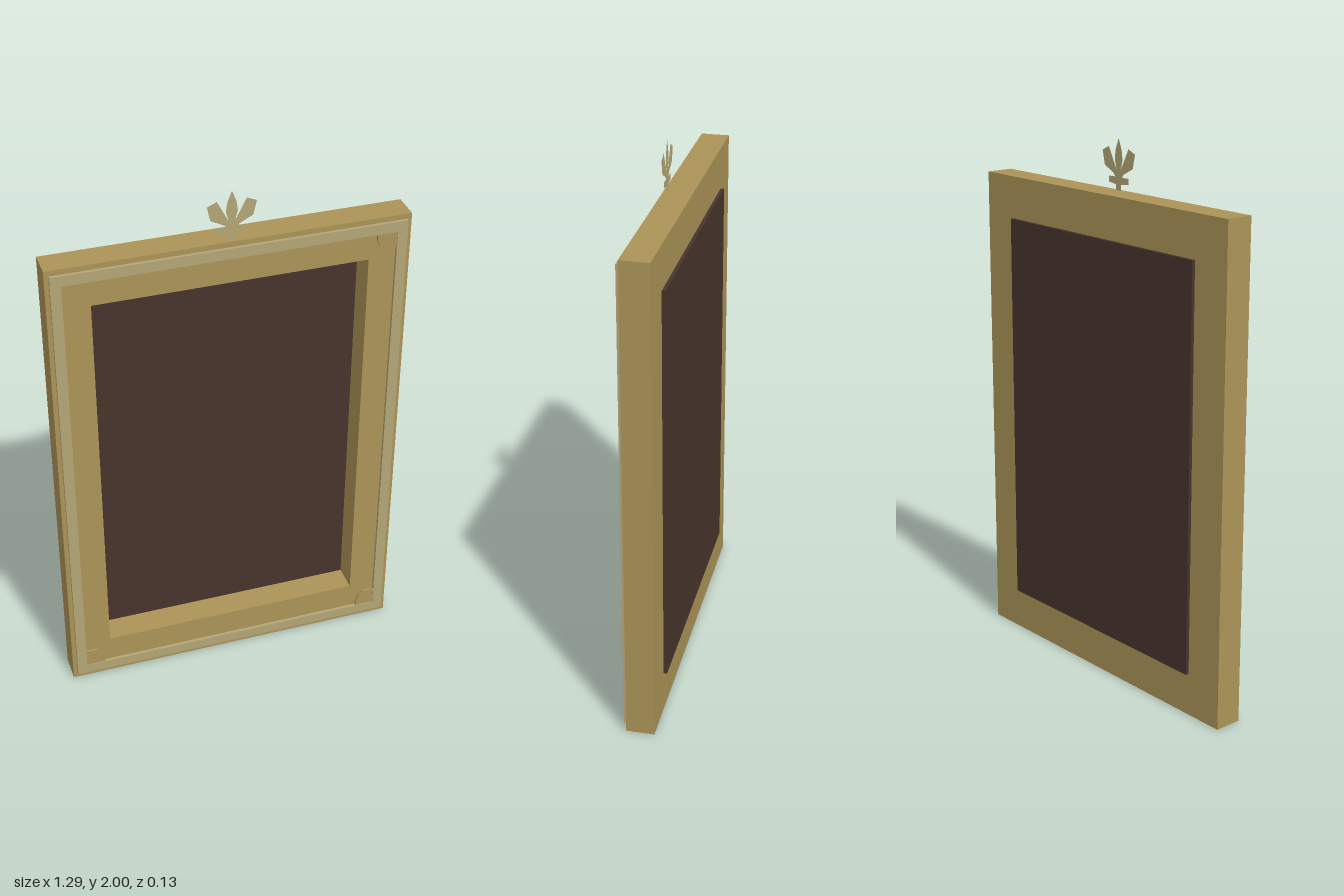
import * as THREE from 'three';

const gold = new THREE.MeshStandardMaterial({ color: 0xac9458 });
gold.name = 'gold';
const paleGold = new THREE.MeshStandardMaterial({ color: 0xb3a677, side: THREE.DoubleSide });
paleGold.name = 'paleGold';
const darkBrown = new THREE.MeshStandardMaterial({ color: 0x48342d });
darkBrown.name = 'darkBrown';

const polygon = (points) => new THREE.Shape(points.map(([x, y]) => new THREE.Vector2(x, y)));
const rectangle = (w, y0, y1) => [[-w, y0], [w, y0], [w, y1], [-w, y1]];

function addMesh(group, name, geometry, material, z) {
  const mesh = new THREE.Mesh(geometry, material);
  mesh.name = name;
  mesh.position.z = z;
  group.add(mesh);
  return mesh;
}

// Rectangular ring with a rectangular opening
function ring(outer, inner, depth) {
  const shape = polygon(rectangle(...outer));
  shape.holes.push(polygon(rectangle(...inner)));
  return new THREE.ExtrudeGeometry(shape, { depth, bevelEnabled: false });
}

export function createModel() {
  const model = new THREE.Group();
  model.name = 'pictureFrame';

  // Main frame and the raised moulding on its face
  addMesh(model, 'frame', ring([0.647, 0, 1.817], [0.495, 0.16, 1.66], 0.104), gold, -0.052);
  addMesh(model, 'trim', ring([0.631, 0.022, 1.797], [0.593, 0.059, 1.758], 0.013), paleGold, 0.051);

  // Backing panel behind the opening
  const panel = addMesh(model, 'backPanel', new THREE.BoxGeometry(0.99, 1.5, 0.014), darkBrown, -0.058);
  panel.position.y = 0.91;

  // Rounded ornament inside each corner of the moulding
  for (const sx of [-1, 1]) {
    for (const sy of [-1, 1]) {
      const pts = [[0, 0], [0.073, 0], [0.072, 0.022], [0.062, 0.046], [0.045, 0.066], [0, 0.066]]
        .map(([u, v]) => [sx * (0.593 - u), 0.9085 + sy * (0.8495 - v)]);
      const geometry = new THREE.ExtrudeGeometry(polygon(pts), { depth: 0.01, bevelEnabled: false });
      addMesh(model, 'cornerOrnament', geometry, gold, 0.051);
    }
  }

  // Flat three-petalled crest, mirrored about the centre
  const half = [
    [0.016, 1.96], [0.021, 1.925], [0.011, 1.89], [0.03, 1.925], [0.052, 1.967], [0.087, 1.952],
    [0.075, 1.9], [0.026, 1.875], [0.019, 1.864], [0.053, 1.864], [0.053, 1.842], [0.014, 1.838], [0.014, 1.816],
  ];
  const mirrored = half.map(([x, y]) => [-x, y]).reverse();
  const crest = polygon([[0, 2], ...half, ...mirrored]);
  addMesh(model, 'crest', new THREE.ShapeGeometry(crest), paleGold, 0.04);

  return model;
}
